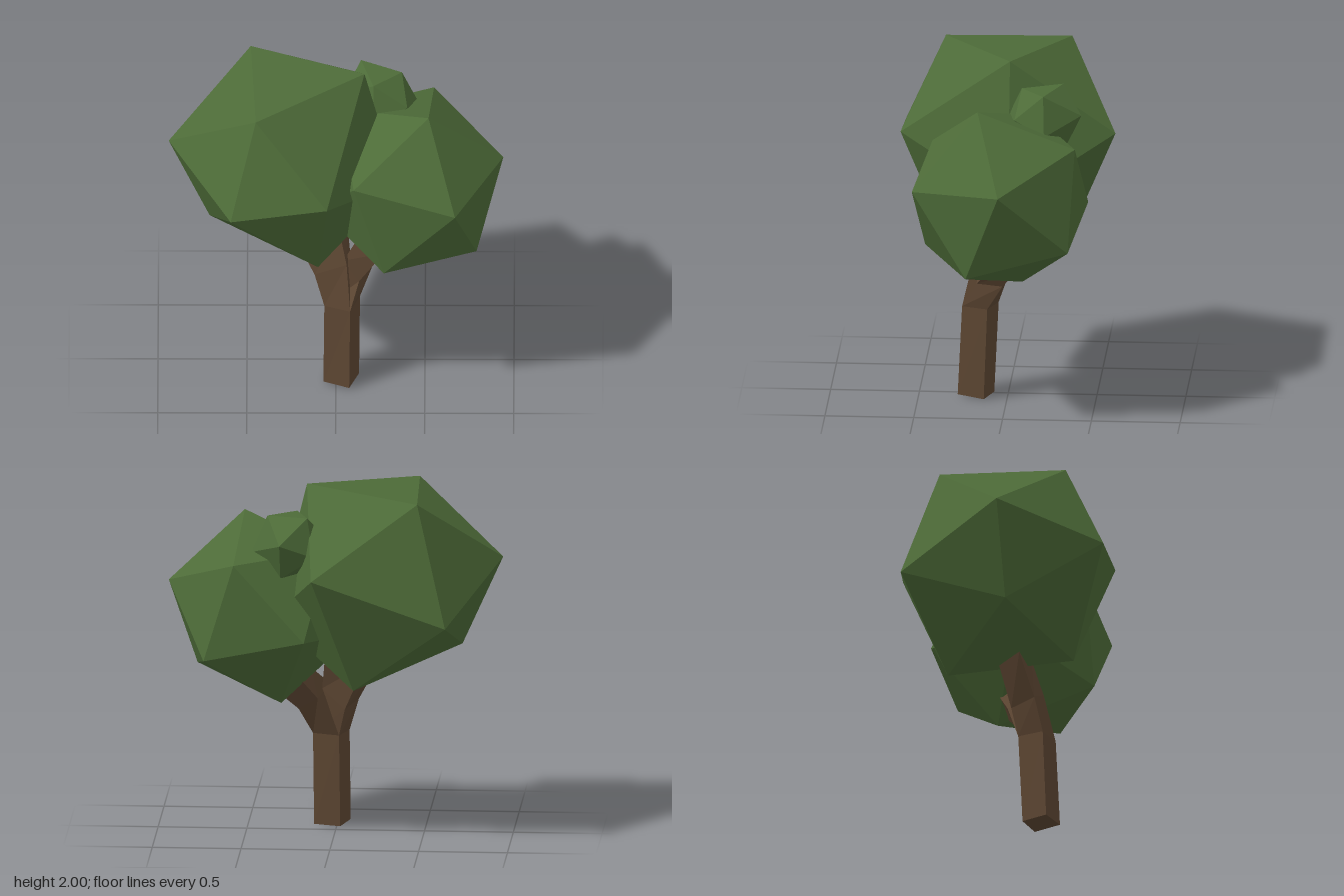
import * as THREE from 'three';
import { ConvexGeometry } from 'three/addons/geometries/ConvexGeometry.js';

const leafMaterial = new THREE.MeshStandardMaterial({ color: 0x4d6b38, flatShading: true });
const barkMaterial = new THREE.MeshStandardMaterial({ color: 0x5e4733, flatShading: true });

// Faceted leaf clump: hull of the given corners
function clump(name, corners) {
  const points = corners.map((c) => new THREE.Vector3(...c));
  const mesh = new THREE.Mesh(new ConvexGeometry(points), leafMaterial);
  mesh.name = name;
  return mesh;
}

// Six corners of a twenty-sided clump plus their mirror images through its centre
function withOpposites(centre, corners) {
  return corners.concat(corners.map((c) => c.map((v, i) => 2 * centre[i] - v)));
}

// Four-sided limb lofted through rings of corners, closed at both ends
function limb(name, rings) {
  const index = [];
  for (let r = 0; r < rings.length - 1; r++) {
    for (let j = 0; j < 4; j++) {
      const a = r * 4 + j;
      const b = r * 4 + ((j + 1) % 4);
      index.push(a, b, b + 4, a, b + 4, a + 4);
    }
  }
  const t = (rings.length - 1) * 4;
  index.push(0, 2, 1, 0, 3, 2, t, t + 1, t + 2, t, t + 2, t + 3);
  let geometry = new THREE.BufferGeometry();
  geometry.setAttribute('position', new THREE.Float32BufferAttribute(rings.flat(2), 3));
  geometry.setIndex(index);
  geometry = geometry.toNonIndexed();
  geometry.computeVertexNormals();
  const mesh = new THREE.Mesh(geometry, barkMaterial);
  mesh.name = name;
  return mesh;
}

export function createModel() {
  const tree = new THREE.Group();
  tree.name = 'tree';

  // Ring corners run front, left side, back, right side of the trunk
  const base = [[0.075, 0.01, 0.28], [0.13, 0, 0.13], [-0.02, 0, 0.08], [-0.07, 0.01, 0.22]];
  const fork = [[0.08, 0.53, 0.255], [0.135, 0.53, 0.11], [-0.015, 0.53, 0.055], [-0.065, 0.53, 0.2]];

  tree.add(limb('trunk', [base, fork]));
  tree.add(limb('rightBranch', [
    fork,
    [[0.06, 0.81, 0.19], [0.08, 0.8, 0.06], [-0.05, 0.69, 0.02], [-0.12, 0.72, 0.16]],
    [[0.02, 1.0, 0.13], [0.06, 1.0, 0], [-0.17, 0.97, -0.05], [-0.24, 0.95, 0.09]],
  ]));
  tree.add(limb('leftBranch', [
    fork,
    [[0.13, 0.68, 0.17], [0.21, 0.69, 0.02], [0.1, 0.76, -0.02], [0.04, 0.81, 0.15]],
    [[0.27, 0.81, 0.08], [0.33, 0.81, -0.06], [0.22, 0.92, -0.1], [0.14, 0.92, 0.05]],
  ]));

  // Large uneven clump
  tree.add(clump('largeFoliage', [
    [0.16, 2.0, -0.02], [-0.45, 1.96, 0.38], [-0.48, 1.96, -0.33],
    [-0.94, 1.58, 0.05], [-0.59, 1.43, 0.61], [-0.05, 1.51, 0.61],
    [0.1, 1.57, -0.61], [-0.65, 1.29, -0.53], [0.35, 1.23, -0.02],
    [-0.71, 1.07, 0.07], [-0.1, 0.94, 0.38], [-0.12, 0.88, -0.33],
  ]));

  // Medium clump on the left
  tree.add(clump('mediumFoliage', withOpposites([0.41, 1.28, 0.02], [
    [0.52, 1.81, 0.14], [0.94, 1.43, 0], [0.67, 1.38, 0.5],
    [0.1, 1.51, 0.42], [0.27, 0.95, 0.45], [0.79, 0.91, 0.19],
  ])));

  // Small clump between the two
  tree.add(clump('smallFoliage', withOpposites([0.25, 1.69, -0.21], [
    [0.14, 1.87, -0.32], [0.37, 1.86, -0.22], [0.21, 1.86, -0.09],
    [0.4, 1.73, -0.06], [0.04, 1.73, -0.19], [0.29, 1.73, -0.43],
  ])));

  return tree;
}
